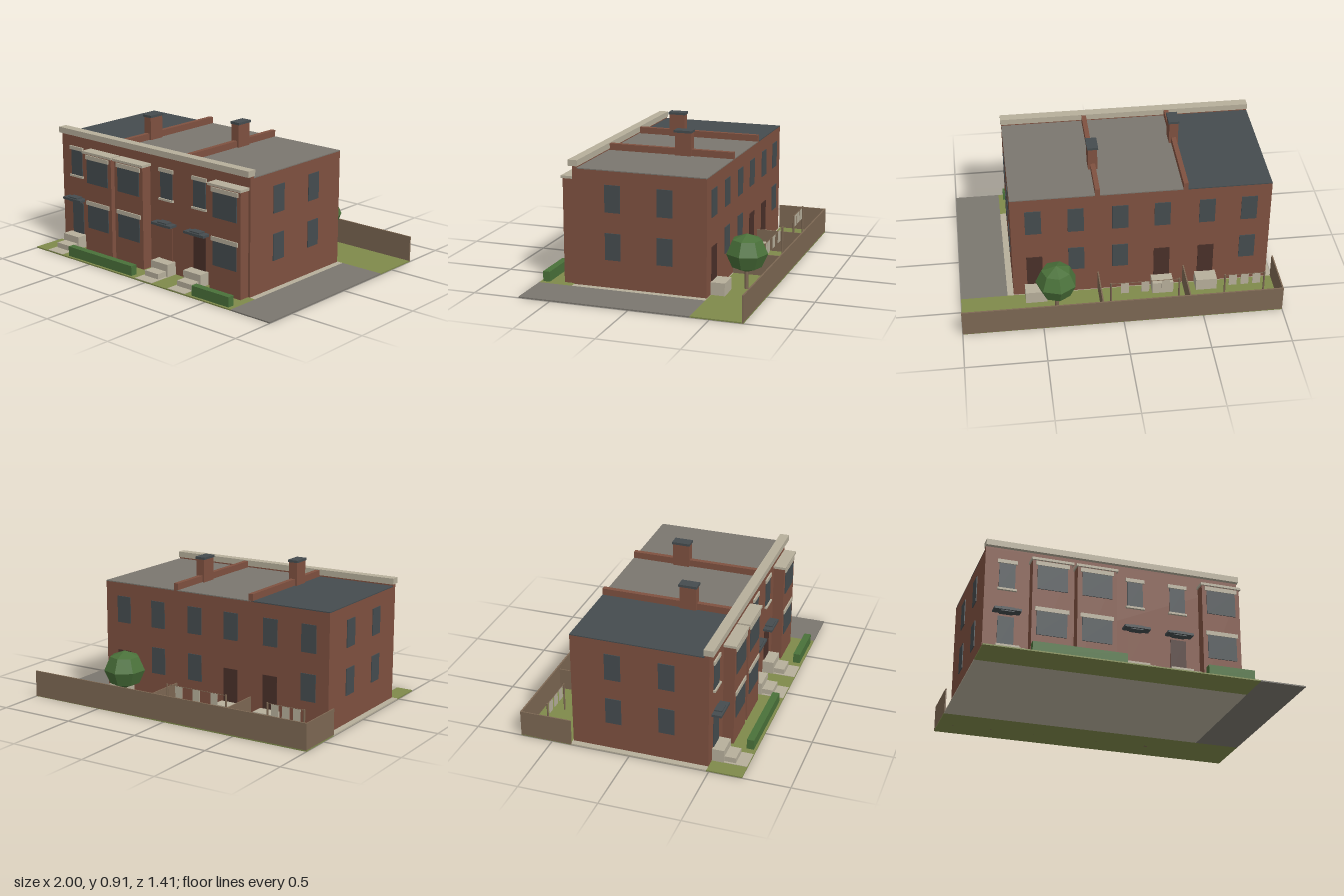
import * as THREE from 'three';

const mat = (name, color, flatShading = false) => {
  const m = new THREE.MeshStandardMaterial({ color, flatShading });
  m.name = name;
  return m;
};

export function createModel() {
  const model = new THREE.Group();
  model.name = 'terracedHouses';

  const brick = mat('brick', 0x7f5140);
  const stone = mat('paleStone', 0xb7af9b);
  const slate = mat('slate', 0x454c4f);
  const grey = mat('greyPaving', 0x7b776f);
  const lawn = mat('lawn', 0x7f8a4b);
  const leaf = mat('foliage', 0x4a713a, true);
  const timber = mat('timber', 0x7d6853);
  const doorBrown = mat('darkDoor', 0x4a3029);

  // Box given by its limits on each axis
  const box = (name, m, x0, x1, y0, y1, z0, z1, parent = model) => {
    const mesh = new THREE.Mesh(new THREE.BoxGeometry(x1 - x0, y1 - y0, z1 - z0), m);
    mesh.position.set((x0 + x1) / 2, (y0 + y1) / 2, (z0 + z1) / 2);
    mesh.name = name;
    parent.add(mesh);
    return mesh;
  };
  // Box centred on x with a given width
  const wide = (name, m, x, w, y0, y1, z0, z1, parent) =>
    box(name, m, x - w / 2, x + w / 2, y0, y1, z0, z1, parent);

  const L = -0.96, R = 0.665, BACK = -0.375, FRONT = 0.485, EAVES = 0.742;
  const G = 0.008, T = 0.005;
  const windowRows = [[0.185, 0.355], [0.485, 0.657]];

  // Ground
  box('frontLawn', lawn, -1, 0.705, 0, G, FRONT, 0.705);
  box('backLawn', lawn, -1, 1, 0, G, -0.705, -0.38);
  box('sidePaving', stone, -1, 0.705, 0, G, -0.38, FRONT);
  box('driveway', grey, 0.705, 1, 0, G, -0.38, 0.705);

  // Main block, party walls, chimneys and front cornice
  box('walls', brick, L, R, 0.002, EAVES, BACK, FRONT);
  box('frontParapet', brick, L, R, EAVES, 0.785, 0.455, FRONT);
  box('cornice', stone, L - 0.002, R + 0.005, 0.757, 0.795, 0.45, 0.51);
  const partyX = [-0.42, 0.125];
  const chimneyZ = [0.182, -0.048];
  partyX.forEach((x, i) => {
    const z = chimneyZ[i];
    wide('partyWall', brick, x, 0.03, 0.7, 0.79, BACK, 0.455);
    wide('chimney', brick, x, 0.058, 0.74, 0.897, z - 0.053, z + 0.053);
    wide('chimneyCap', slate, x, 0.07, 0.895, 0.91, z - 0.058, z + 0.058);
  });

  // Each house: side is +1 when the bay stands on the +x half
  const houses = [
    { x0: L, x1: -0.42, side: 1, roof: slate, door: slate },
    { x0: -0.42, x1: 0.125, side: -1, roof: grey, door: brick },
    { x0: 0.125, x1: R, side: 1, roof: grey, door: doorBrown },
  ];
  houses.forEach(({ x0, x1, side, roof, door }) => {
    const house = new THREE.Group();
    house.name = 'house';
    model.add(house);
    const mid = (x0 + x1) / 2;
    const doorX = mid - side * 0.133, bayX = mid + side * 0.131;
    const add = (...a) => wide(...a, house);

    box('roof', roof, x0, x1, EAVES, 0.748, BACK, 0.455, house);

    // Bay with two wide windows
    add('bay', brick, bayX, 0.248, 0.002, 0.675, FRONT, 0.555);
    add('bayCornice', stone, bayX, 0.264, 0.674, 0.69, FRONT, 0.565);
    [[0.18, 0.335], [0.482, 0.64]].forEach(([y0, y1]) => {
      add('bayWindow', slate, bayX, 0.188, y0, y1, 0.554, 0.555 + T);
      add('bayLintel', stone, bayX, 0.21, y1, y1 + 0.027, 0.55, 0.555 + T + 0.003);
    });

    // Front door, hood, upper window and steps
    add('frontDoor', door, doorX, 0.1, 0.09, 0.302, FRONT - T, FRONT + T);
    add('doorHood', slate, doorX, 0.165, 0.322, 0.337, FRONT, 0.545);
    add('hoodCore', slate, doorX, 0.08, 0.316, 0.345, FRONT, 0.535);
    add('upperWindow', slate, doorX, 0.1, 0.486, 0.656, FRONT - T, FRONT + T);
    add('upperLintel', stone, doorX, 0.122, 0.656, 0.68, FRONT - T, FRONT + 0.01);
    add('upperSill', stone, doorX, 0.12, 0.474, 0.487, FRONT - T, FRONT + 0.015);
    add('topStep', stone, doorX, 0.142, 0.002, 0.09, FRONT, 0.56);
    add('lowerStep', stone, doorX, 0.115, 0.002, 0.045, 0.56, 0.63);
    add('frontPath', stone, doorX, 0.14, 0.002, 0.011, 0.56, 0.703);

    // Rear windows, door and step
    windowRows.forEach(([y0, y1], row) => {
      add('rearWindow', slate, doorX, 0.1, y0, y1, BACK - T, BACK + T);
      if (row) add('rearWindow', slate, bayX, 0.1, y0, y1, BACK - T, BACK + T);
    });
    add('rearDoor', doorBrown, bayX, 0.1, 0.09, 0.302, BACK - T, BACK + T);
    add('rearStep', stone, bayX, 0.134, 0.002, 0.088, -0.466, BACK);
  });

  // End wall windows on both sides
  [L, R].forEach((x) => [0.225, -0.11].forEach((z) => windowRows.forEach(([y0, y1]) =>
    box('endWindow', slate, x - T, x + T, y0, y1, z - 0.05, z + 0.05))));

  // Hedges
  box('hedge', leaf, -0.705, -0.13, 0.004, 0.072, 0.645, 0.69);
  box('hedge', leaf, 0.38, 0.675, 0.004, 0.072, 0.645, 0.69);

  // Garden fences
  box('backFence', timber, -1, 1, 0.002, 0.17, -0.705, -0.695);
  box('sideFence', timber, -1, -0.992, 0.002, 0.17, -0.695, BACK);
  partyX.forEach((x) => wide('gardenFence', timber, x, 0.008, 0.002, 0.147, -0.695, BACK));

  // Washing lines with hanging cloths
  [[-0.905, -0.655], [-0.365, 0.065]].forEach(([a, b]) => {
    const z = -0.565;
    [a, b].forEach((x) => {
      const post = new THREE.Mesh(new THREE.CylinderGeometry(0.006, 0.006, 0.2, 6), timber);
      post.position.set(x, 0.1, z);
      post.name = 'linePost';
      model.add(post);
    });
    box('washingLine', timber, a, b, 0.193, 0.196, z - 0.0015, z + 0.0015);
    [0.2, 0.5, 0.8].forEach((t) =>
      wide('cloth', stone, a + (b - a) * t, 0.05, 0.115, 0.194, z - 0.002, z + 0.002));
  });

  // Tree
  const trunk = new THREE.Mesh(new THREE.CylinderGeometry(0.011, 0.013, 0.2, 7), timber);
  trunk.position.set(0.403, 0.1, -0.545);
  trunk.name = 'treeTrunk';
  const crown = new THREE.Mesh(new THREE.SphereGeometry(0.131, 7, 4), leaf);
  crown.position.set(0.403, 0.236, -0.546);
  crown.scale.y = 0.93;
  crown.rotation.y = Math.PI - 0.09;
  crown.name = 'treeCrown';
  model.add(trunk, crown);

  return model;
}
